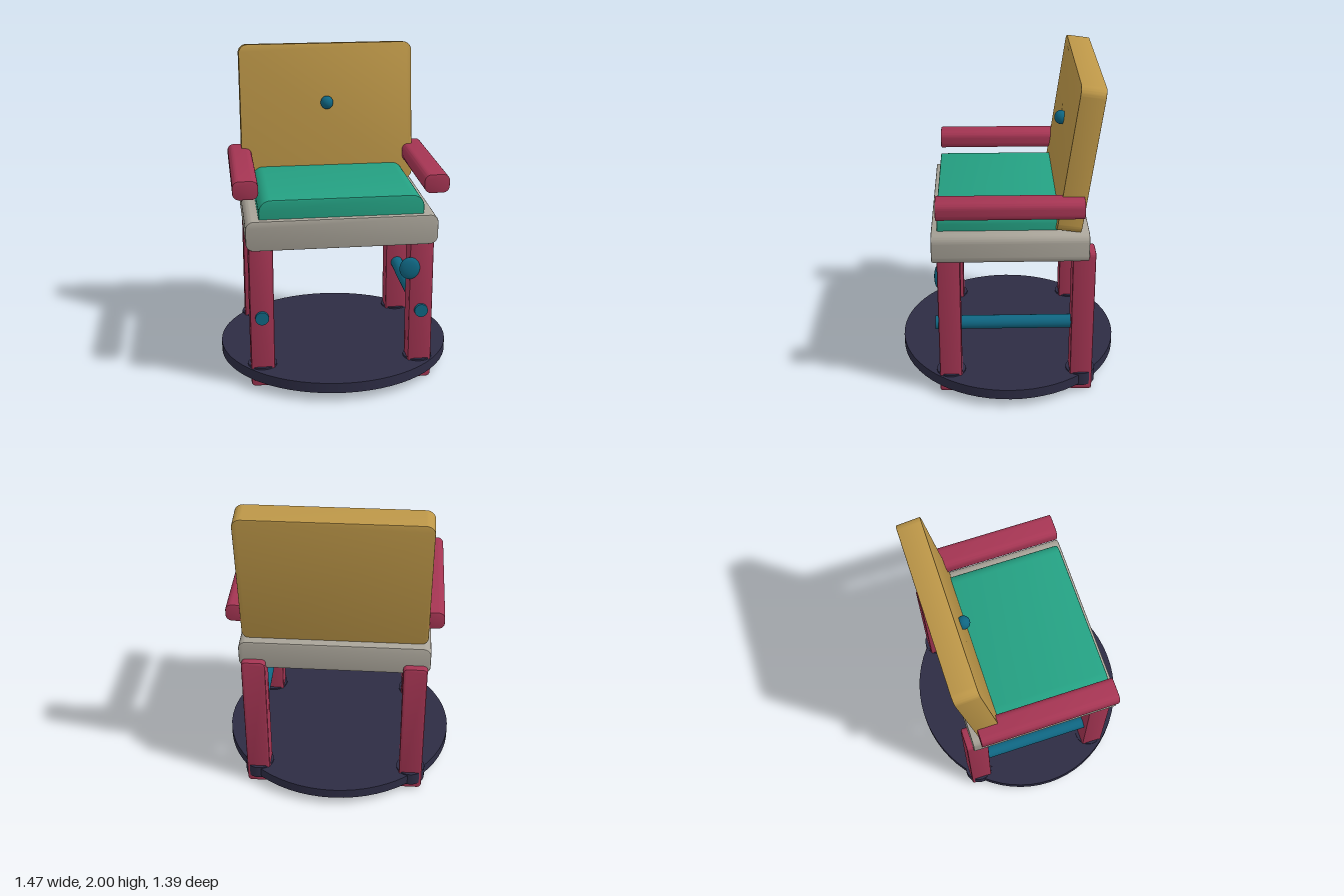
import * as THREE from 'three';
import { toCreasedNormals } from 'three/addons/utils/BufferGeometryUtils.js';

const material = (name, color) => {
  const m = new THREE.MeshStandardMaterial({ color });
  m.name = name;
  return m;
};

// Rounded rectangle in x/y, run along z with a small bevel at both ends
function roundedSlab(w, h, d, r, bevel = 0.008) {
  const x = w / 2 - bevel, y = h / 2 - bevel;
  const c = Math.max(r - bevel, 0.002);
  const s = new THREE.Shape();
  s.moveTo(-x + c, -y);
  s.lineTo(x - c, -y);
  s.absarc(x - c, -y + c, c, -Math.PI / 2, 0);
  s.lineTo(x, y - c);
  s.absarc(x - c, y - c, c, 0, Math.PI / 2);
  s.lineTo(-x + c, y);
  s.absarc(-x + c, y - c, c, Math.PI / 2, Math.PI);
  s.lineTo(-x, -y + c);
  s.absarc(-x + c, -y + c, c, Math.PI, Math.PI * 1.5);
  const g = new THREE.ExtrudeGeometry(s, {
    depth: d - 2 * bevel, bevelEnabled: true, bevelThickness: bevel,
    bevelSize: bevel, bevelSegments: 2, curveSegments: 6,
  });
  g.translate(0, 0, -d / 2 + bevel);
  return toCreasedNormals(g, 0.6);
}

export function createModel() {
  const chair = new THREE.Group();
  chair.name = 'chair';

  const ochre = material('ochre', 0xbd9748);
  const stone = material('stone grey', 0xa9a499);
  const green = material('sea green', 0x24a082);
  const crimson = material('crimson', 0xa53553);
  const navy = material('dark navy', 0x2d2c44);
  const teal = material('teal', 0x0f6682);

  const add = (name, geometry, mat, x, y, z) => {
    const mesh = new THREE.Mesh(geometry, mat);
    mesh.name = name;
    mesh.position.set(x, y, z);
    chair.add(mesh);
    return mesh;
  };

  // Oval base plate
  const base = new THREE.CylinderGeometry(0.737, 0.737, 0.065, 64);
  base.scale(1, 1, 0.943);
  add('basePlate', base, navy, 0, 0.094, 0);

  // Seat, cushion and leaning backrest
  add('seat', roundedSlab(1.164, 0.187, 0.94, 0.05), stone, 0, 1.006, 0);
  add('cushion', roundedSlab(1.0, 0.2, 0.79, 0.075), green, 0, 1.118, 0.04);
  const back = add('backrest', roundedSlab(1.124, 0.9, 0.147, 0.055, 0.004), ochre, 0, 1.547, -0.405);
  back.rotation.x = -0.138;

  // Legs with round collars, side rails and armrests
  const leg = roundedSlab(0.148, 0.97, 0.139, 0.028, 0.012);
  const collar = new THREE.CylinderGeometry(0.091, 0.091, 0.085, 24);
  const rail = new THREE.CylinderGeometry(0.042, 0.042, 0.92, 20).rotateX(Math.PI / 2);
  const armrest = roundedSlab(0.153, 0.115, 0.866, 0.04, 0.004);
  for (const [side, s] of [['left', 1], ['right', -1]]) {
    for (const [end, z] of [['Front', 0.37], ['Back', -0.442]]) {
      add(side + end + 'Leg', leg, crimson, s * 0.492, 0.49, z);
      add(side + end + 'Collar', collar, navy, s * 0.492, 0.094, z);
    }
    add(side + 'Rail', rail, teal, s * 0.493, 0.47, 0);
    add(side + 'Armrest', armrest, crimson, s * 0.574, 1.283, 0.003);
  }

  // Backrest button and flat knob on the left front leg
  const ball = new THREE.SphereGeometry(1, 24, 16);
  add('backButton', ball, teal, 0, 1.627, -0.325).scale.set(0.041, 0.043, 0.04);
  add('legKnob', ball, teal, 0.417, 0.75, 0.44).scale.set(0.064, 0.071, 0.023);

  return chair;
}
